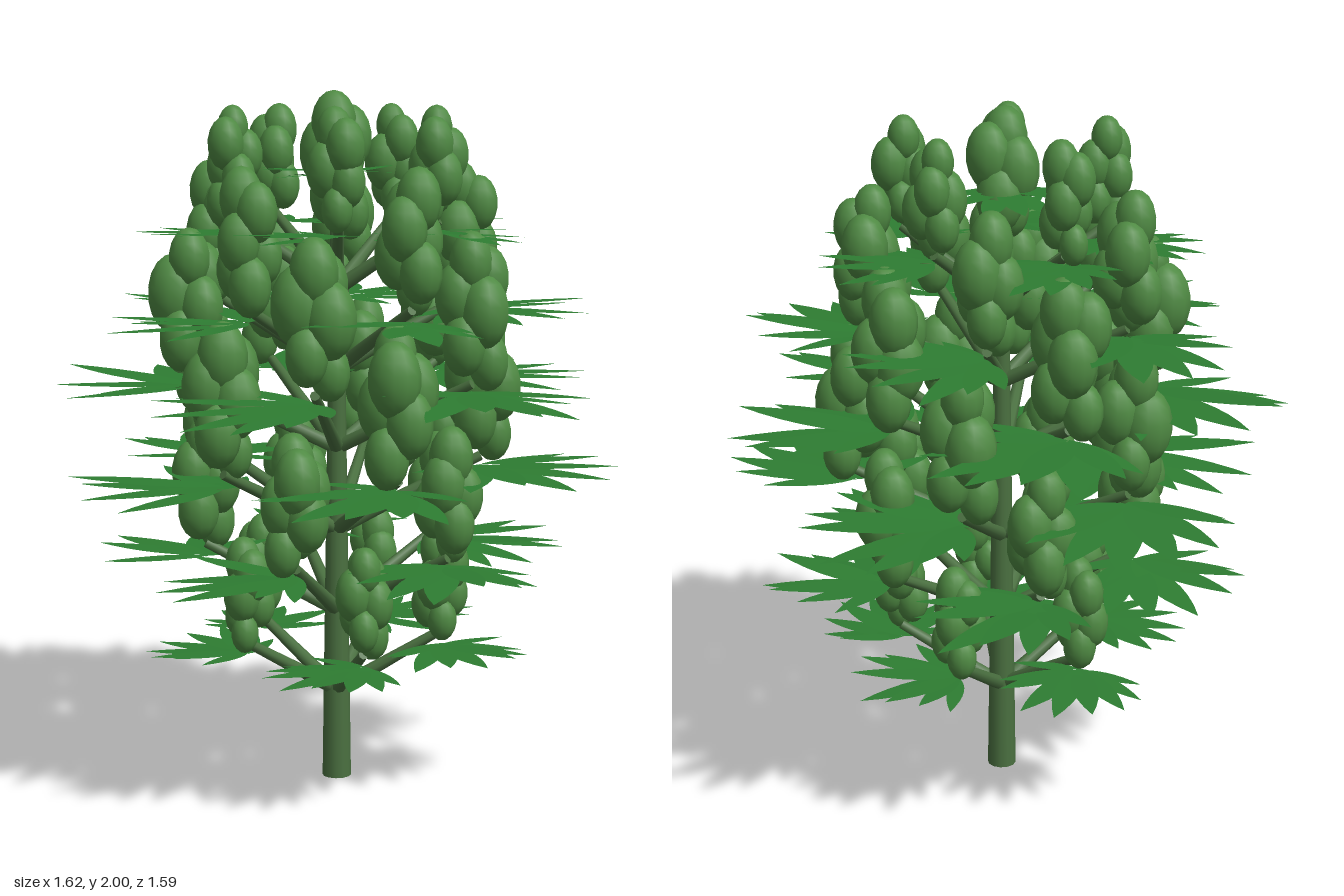
import * as THREE from 'three';
import { mergeGeometries } from 'three/addons/utils/BufferGeometryUtils.js';

const stemMat = new THREE.MeshStandardMaterial({ color: 0x4a7040 });
const budMat = new THREE.MeshStandardMaterial({ color: 0x4f8a43 });
const leafMat = new THREE.MeshStandardMaterial({ color: 0x2e7d32, side: THREE.DoubleSide });

// Seeded random in the range -1..1
let seed = 7;
function jitter() {
  seed = (seed * 16807) % 2147483647;
  return (seed / 2147483647) * 2 - 1;
}

function mesh(name, geometry, material) {
  const m = new THREE.Mesh(geometry, material);
  m.name = name;
  return m;
}

// Tapered rod between two points
function rod(name, a, b, r0, r1, sides) {
  const dir = b.clone().sub(a);
  const m = mesh(name, new THREE.CylinderGeometry(r1, r0, dir.length(), sides), stemMat);
  m.position.copy(a).addScaledVector(dir, 0.5);
  m.quaternion.setFromUnitVectors(new THREE.Vector3(0, 1, 0), dir.normalize());
  return m;
}

// One pointed leaf finger of unit length along +x, lying flat
function fingerGeometry() {
  const s = new THREE.Shape();
  s.moveTo(0, 0);
  s.bezierCurveTo(0.2, 0.15, 0.55, 0.18, 1, 0);
  s.bezierCurveTo(0.55, -0.18, 0.2, -0.15, 0, 0);
  return new THREE.ShapeGeometry(s, 8).rotateX(-Math.PI / 2);
}

// Palmate leaf: nine fingers, the middle one longest, swept round from its branch
function leaf(length, branchAngle) {
  const parts = [];
  for (let i = -4; i <= 4; i++) {
    const a = THREE.MathUtils.degToRad(20 * i);
    const l = length * Math.cos(0.65 * a);
    parts.push(fingerGeometry()
      .scale(l, 1, l)
      .rotateZ(jitter() * 0.08)
      .rotateY(-a)
      .translate(0, 0.005 * jitter(), 0));
  }
  const fan = mesh('leaf', mergeGeometries(parts), leafMat);
  fan.rotation.y = -(branchAngle + 1.1);
  return fan;
}

// Stack of egg-shaped buds winding round an upright axis
function budCluster(height) {
  const parts = [];
  const count = 7;
  for (let i = 0; i < count; i++) {
    const t = i / (count - 1);
    const size = 1 + 0.1 * jitter() - 0.3 * Math.abs(t - 0.6);
    const rx = 0.16 * height * size;
    const ry = 0.235 * height * size;
    const off = height * (i === count - 1 ? 0.04 : 0.1);
    const a = i * 2.4 + jitter() * 0.4;
    parts.push(new THREE.SphereGeometry(1, 12, 9)
      .scale(rx, ry, rx)
      .translate(Math.cos(a) * off, THREE.MathUtils.lerp(ry, height - ry, t), Math.sin(a) * off));
  }
  return mesh('budCluster', mergeGeometries(parts), budMat);
}

// Branch start height, tip height, tip radius, bud height and leaf length
const tiers = [
  [0.26, 0.41, 0.30, 0.33, 0.31],
  [0.50, 0.67, 0.38, 0.40, 0.39],
  [0.74, 0.92, 0.42, 0.45, 0.45],
  [0.98, 1.16, 0.42, 0.45, 0.46],
  [1.21, 1.38, 0.38, 0.41, 0.40],
  [1.44, 1.61, 0.30, 0.34, 0.32],
];
const tierTurn = 0.55;

export function createModel() {
  const model = new THREE.Group();
  model.name = 'plant';
  model.add(rod('stem', new THREE.Vector3(), new THREE.Vector3(0, 1.72, 0), 0.042, 0.018, 12));

  // Five branches per tier, each tier turned a little further round
  tiers.forEach(([y0, y1, radius, budHeight, leafLength], tier) => {
    for (let i = 0; i < 5; i++) {
      const a = tier * tierTurn + (i * Math.PI * 2) / 5;
      const tip = new THREE.Vector3(radius * Math.cos(a), y1 + 0.01 * jitter(), radius * Math.sin(a));
      const branch = new THREE.Group();
      branch.name = 'branch';
      branch.add(rod('branchStem', new THREE.Vector3(0, y0, 0), tip.clone().setY(y1 + 0.03), 0.022, 0.014, 8));

      const fan = leaf(leafLength, a);
      fan.position.copy(tip);
      branch.add(fan);

      const buds = budCluster(budHeight);
      buds.position.set(tip.x, y1 + 0.01, tip.z);
      buds.rotation.y = jitter() * 3;
      branch.add(buds);
      model.add(branch);
    }
  });

  // Crown at the top of the stem
  const crownLeaf = leaf(0.3, tiers.length * tierTurn);
  crownLeaf.name = 'crownLeaf';
  crownLeaf.position.y = 1.77;
  const crownBuds = budCluster(0.42);
  crownBuds.name = 'crownBuds';
  crownBuds.position.y = 1.58;
  model.add(crownLeaf, crownBuds);
  return model;
}
